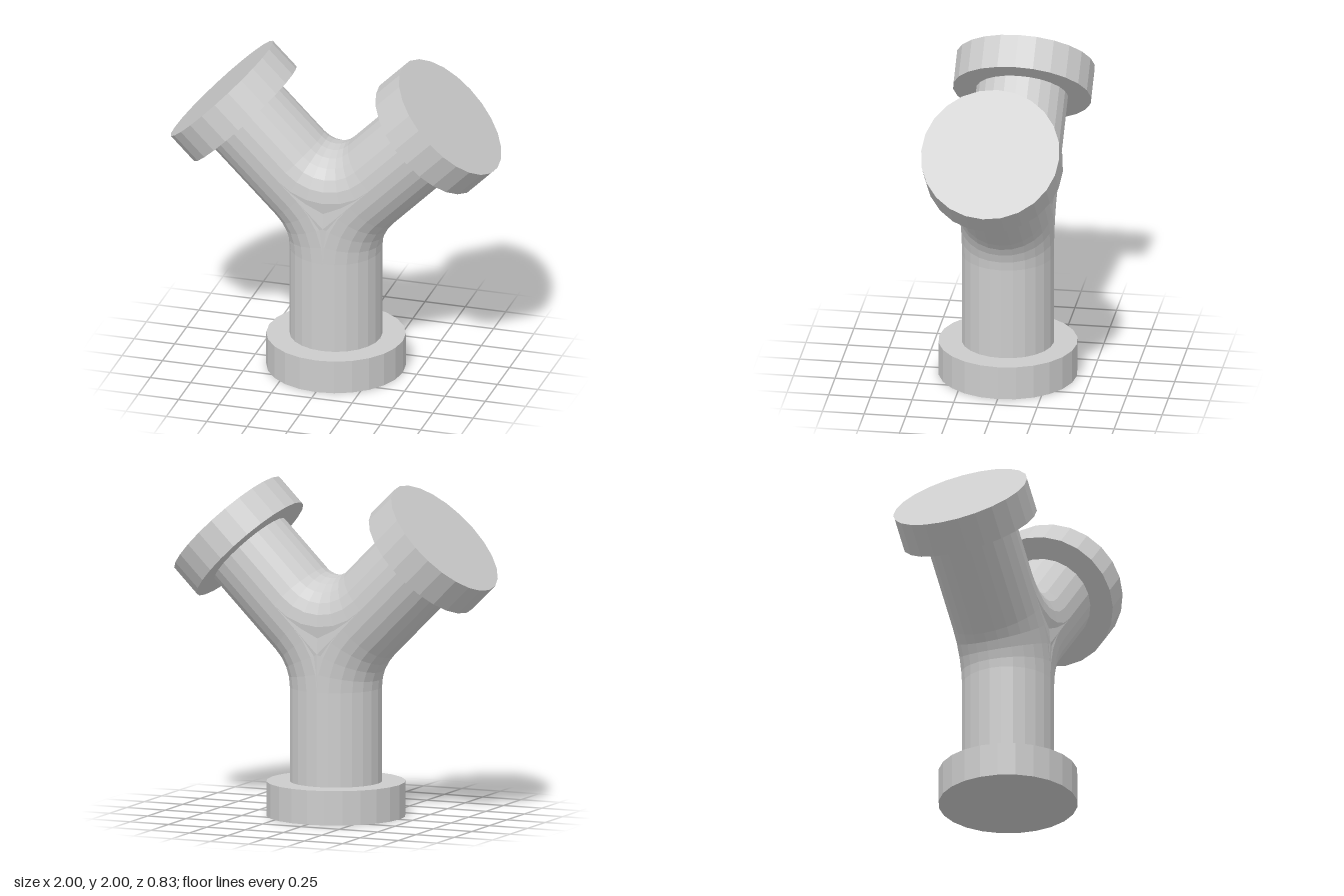
import * as THREE from 'three';

const SIDES = 24;
const PIPE_R = 0.275, FLANGE_R = 0.414, FLANGE_T = 0.206;
const JOINT_Y = 1, LENGTH = 1;

export function createModel() {
  const model = new THREE.Group();
  model.name = 'pipeWye';
  const material = new THREE.MeshStandardMaterial({ color: 0xcccccc, flatShading: true });

  const add = (parent, name, geometry) => {
    const mesh = new THREE.Mesh(geometry, material);
    mesh.name = name;
    parent.add(mesh);
    return mesh;
  };

  // A straight pipe running out from the joint, ending in a solid round flange
  const addBranch = (name, angle) => {
    const branch = new THREE.Group();
    branch.name = name;
    branch.position.y = JOINT_Y;
    branch.rotation.z = angle;
    const pipeLength = LENGTH - FLANGE_T / 2;
    add(branch, name + 'Pipe', new THREE.CylinderGeometry(PIPE_R, PIPE_R, pipeLength, SIDES))
      .position.y = pipeLength / 2;
    add(branch, name + 'Flange', new THREE.CylinderGeometry(FLANGE_R, FLANGE_R, FLANGE_T, SIDES))
      .position.y = LENGTH - FLANGE_T / 2;
    model.add(branch);
  };
  addBranch('stem', Math.PI);
  addBranch('leftArm', -Math.PI / 4);
  addBranch('rightArm', Math.PI / 4);

  // Curved pipe sections that round off the inner corners between branches
  const addBend = (name, x, y, radius, start, arc, steps) => {
    const bend = add(model, name, new THREE.TorusGeometry(radius, PIPE_R, SIDES, steps, arc));
    bend.position.set(x, y, 0);
    bend.rotation.z = start;
  };
  const sideR = 0.55, crotchR = 0.4;
  const sideY = JOINT_Y - sideR * Math.tan(Math.PI / 8);
  addBend('leftBend', sideR, sideY, sideR, Math.PI * 0.75, Math.PI / 4, 4);
  addBend('rightBend', -sideR, sideY, sideR, 0, Math.PI / 4, 4);
  addBend('crotchBend', 0, JOINT_Y + crotchR * Math.SQRT2, crotchR, Math.PI * 1.25, Math.PI / 2, 6);

  return model;
}
